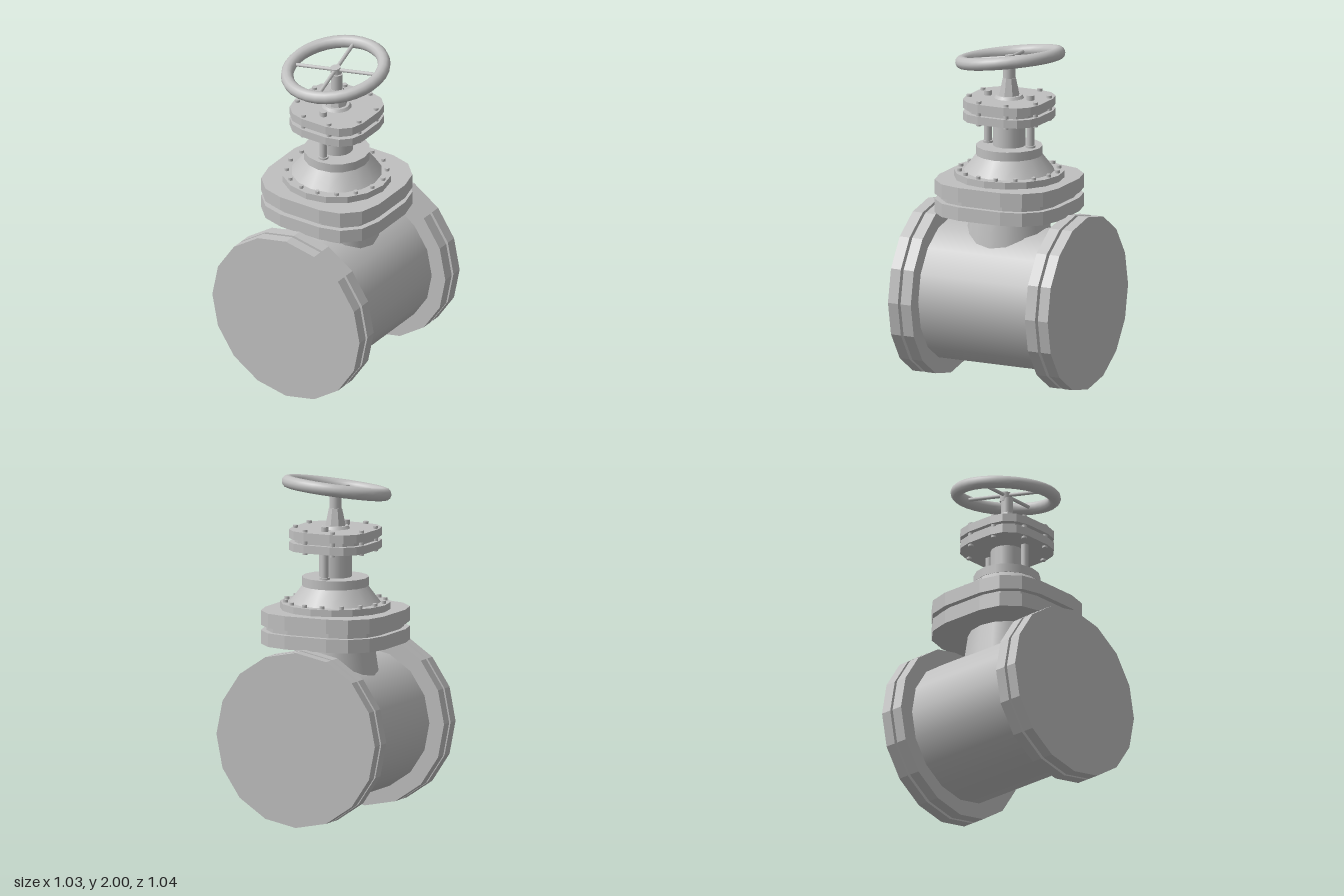
import * as THREE from 'three';

export function createModel() {
  const model = new THREE.Group();
  model.name = 'gateValve';
  const smooth = new THREE.MeshStandardMaterial({ color: 0xc0c0c0 });
  smooth.name = 'castGrey';
  const flat = smooth.clone();
  flat.name = 'castGreyFaceted';
  flat.flatShading = true;

  const add = (parent, name, geometry, material, x = 0, y = 0, z = 0) => {
    const mesh = new THREE.Mesh(geometry, material);
    mesh.name = name;
    mesh.position.set(x, y, z);
    parent.add(mesh);
    return mesh;
  };

  // Upright round part between two heights
  const upright = (parent, name, rTop, rBottom, y0, y1, x = 0, z = 0, sides = 16, material = smooth) =>
    add(parent, name, new THREE.CylinderGeometry(rTop, rBottom, y1 - y0, sides), material, x, (y0 + y1) / 2, z);

  // Square plate with rounded, three-facet corners
  const plate = (parent, name, half, radius, y0, y1) => {
    const c = half - radius, points = [];
    for (let q = 0; q < 4; q++) {
      const sx = q === 0 || q === 3 ? c : -c, sy = q < 2 ? c : -c;
      for (let i = 0; i <= 3; i++) {
        const a = (q + i / 3) * Math.PI / 2;
        points.push(new THREE.Vector2(sx + radius * Math.cos(a), sy + radius * Math.sin(a)));
      }
    }
    const g = new THREE.ExtrudeGeometry(new THREE.Shape(points), { depth: y1 - y0, bevelEnabled: false });
    g.rotateX(-Math.PI / 2);
    add(parent, name, g, flat, 0, y0, 0);
  };

  // Ring of bolt heads
  const bolts = (parent, name, count, radius, r, y0, y1) => {
    for (let i = 0; i < count; i++) {
      const a = (i + 0.5) * 2 * Math.PI / count;
      upright(parent, name, r, r, y0, y1, radius * Math.cos(a), radius * Math.sin(a), 10);
    }
  };

  // Horizontal pipe with a pair of flanges at each end
  const pipe = new THREE.Group();
  pipe.name = 'pipeBody';
  pipe.position.y = 0.515;
  model.add(pipe);
  const along = (name, r, z0, z1, material) => {
    const g = new THREE.CylinderGeometry(r, r, z1 - z0, 16).rotateX(Math.PI / 2);
    add(pipe, name, g, material, 0, 0, (z0 + z1) / 2);
  };
  along('pipe', 0.418, -0.4, 0.4, smooth);
  for (const s of [-1, 1]) {
    const span = (name, r, a, b) => along(name, r, Math.min(s * a, s * b), Math.max(s * a, s * b), flat);
    span('innerFlange', 0.513, 0.37, 0.436);
    span('gasket', 0.453, 0.43, 0.46);
    span('outerFlange', 0.513, 0.454, 0.518);
  }

  // Bonnet standing on the pipe
  const bonnet = new THREE.Group();
  bonnet.name = 'bonnet';
  bonnet.position.z = -0.008;
  model.add(bonnet);
  upright(bonnet, 'neck', 0.225, 0.258, 0.8, 1.03);
  plate(bonnet, 'lowerBonnetFlange', 0.385, 0.25, 1.02, 1.1);
  plate(bonnet, 'bonnetGasket', 0.352, 0.22, 1.09, 1.14);
  plate(bonnet, 'upperBonnetFlange', 0.385, 0.25, 1.13, 1.215);
  upright(bonnet, 'boltedRing', 0.32, 0.32, 1.21, 1.255, 0, 0, 16, flat);
  bolts(bonnet, 'ringBolt', 16, 0.29, 0.014, 1.25, 1.272);
  upright(bonnet, 'bonnetCone', 0.19, 0.268, 1.25, 1.352);
  upright(bonnet, 'bonnetCap', 0.194, 0.194, 1.35, 1.403);
  upright(bonnet, 'column', 0.095, 0.095, 1.4, 1.57);

  // Two tie rods with base collars and top nuts
  for (const s of [-1, 1]) {
    upright(bonnet, 'tieRod', 0.022, 0.022, 1.4, 1.695, 0, s * 0.138, 12);
    upright(bonnet, 'tieRodCollar', 0.03, 0.03, 1.4, 1.415, 0, s * 0.138, 12);
    upright(bonnet, 'tieRodNut', 0.022, 0.022, 1.68, 1.713, 0, s * 0.138, 12);
  }

  // Gland flanges
  plate(bonnet, 'lowerGlandFlange', 0.24, 0.156, 1.565, 1.613);
  plate(bonnet, 'glandGasket', 0.212, 0.138, 1.61, 1.64);
  plate(bonnet, 'upperGlandFlange', 0.24, 0.156, 1.636, 1.685);
  bolts(bonnet, 'glandBolt', 8, 0.232, 0.015, 1.553, 1.7);

  // Stem
  upright(bonnet, 'stemCollar', 0.075, 0.09, 1.68, 1.702);
  upright(bonnet, 'stemNut', 0.04, 0.062, 1.7, 1.803, 0, 0, 8, flat);
  upright(bonnet, 'stem', 0.035, 0.035, 1.8, 1.9);

  // Tilted hand wheel
  const wheel = new THREE.Group();
  wheel.name = 'handWheel';
  wheel.position.set(-0.009, 1.922, -0.002);
  wheel.quaternion.setFromUnitVectors(
    new THREE.Vector3(0, 1, 0), new THREE.Vector3(-0.077, 1, 0.15).normalize());
  bonnet.add(wheel);
  add(wheel, 'rim', new THREE.TorusGeometry(0.284, 0.037, 12, 32).rotateX(Math.PI / 2), smooth);
  upright(wheel, 'hub', 0.03, 0.033, -0.04, 0.016);
  for (let i = 0; i < 4; i++) {
    const g = new THREE.CylinderGeometry(0.011, 0.011, 0.265, 10);
    g.rotateZ(Math.PI / 2).translate(0.1325, 0, 0).rotateY(0.18 + i * Math.PI / 2);
    add(wheel, 'spoke', g, smooth);
  }
  return model;
}
